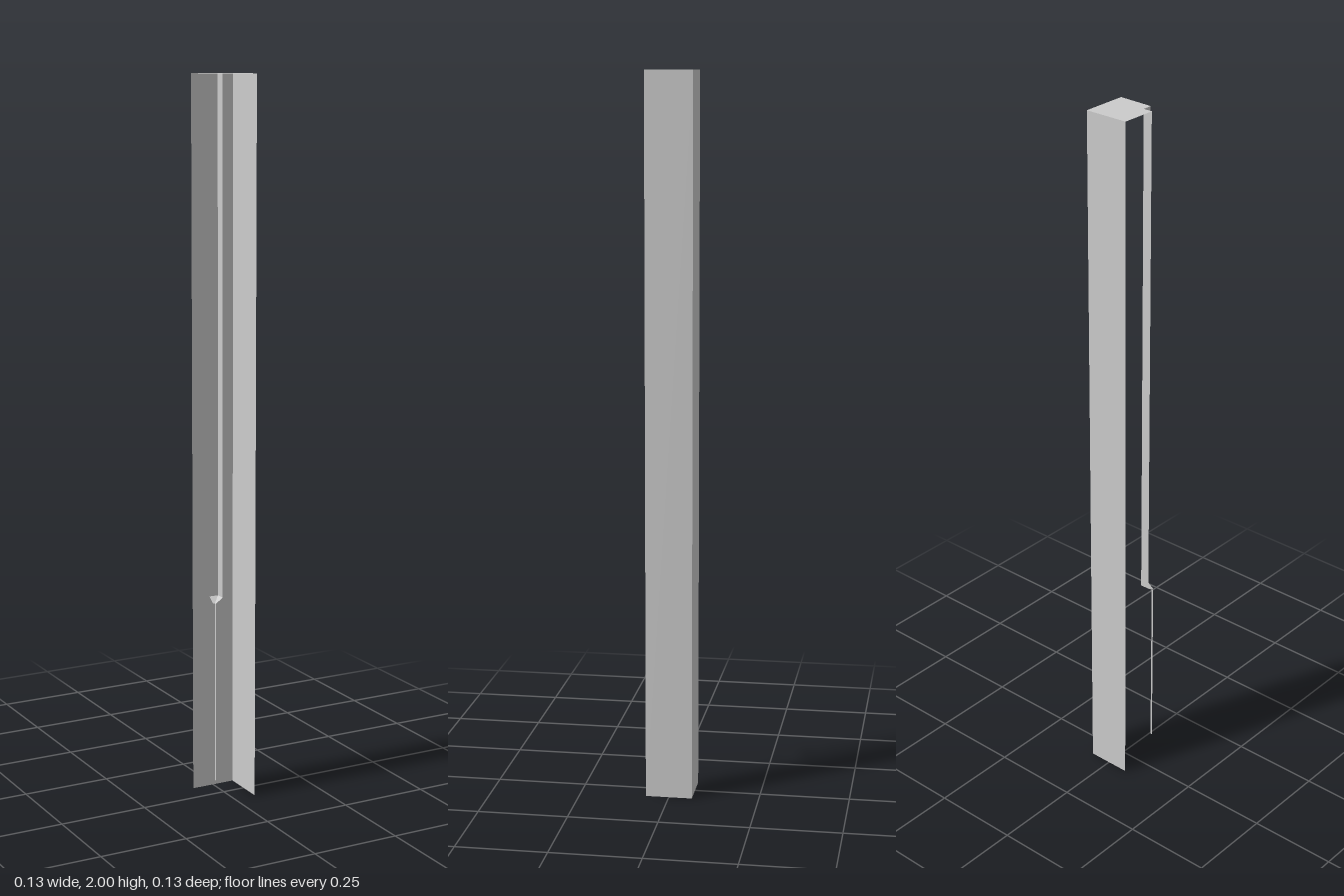
import * as THREE from 'three';

const W = 0.0635, D = 0.065, H = 2;   // half width, half depth, height
const FRONT = 0.0615;                 // front edge at the notched corner

export function createModel() {
  const group = new THREE.Group();
  const material = new THREE.MeshStandardMaterial({
    color: 0xcccccc, side: THREE.DoubleSide, flatShading: true,
  });
  const add = (name, geometry) => {
    const mesh = new THREE.Mesh(geometry, material);
    mesh.name = name;
    group.add(mesh);
    return mesh;
  };

  // Two full-height sheets, meeting at the back corner
  add('backWall', new THREE.PlaneGeometry(2 * W, H).rotateY(Math.PI).translate(0, H / 2, -D));
  add('sideWall', new THREE.PlaneGeometry(2 * D, H).rotateY(Math.PI / 2).translate(W, H / 2, 0));

  // Top cap with a square notch in one front corner (shape y is -z)
  const nx = -0.037, nz = 0.0345;
  const cap = new THREE.Shape([
    [-W, D], [-W, -nz], [nx, -nz], [nx, -FRONT - 0.0005], [W, -D], [W, D],
  ].map(([x, y]) => new THREE.Vector2(x, y)));
  add('topCap', new THREE.ShapeGeometry(cap).rotateX(-Math.PI / 2).translate(0, H, 0));

  // L-shaped lining of the notch: wide above, a short slope, narrow below
  const levels = [
    { y: H, x: nx, z: nz },
    { y: 0.59, x: nx, z: nz },
    { y: 0.575, x: -0.058, z: 0.056 },
    { y: 0.065, x: -0.058, z: 0.056 },
  ];
  const names = ['notchLining', 'notchSlope', 'narrowNotchLining'];
  const section = ({ x, y, z }) => [[-W, y, z], [x, y, z], [x, y, FRONT]];
  names.forEach((name, i) => {
    const a = section(levels[i]), b = section(levels[i + 1]);
    const positions = [];
    for (let j = 0; j < 2; j++) {
      positions.push(...a[j], ...a[j + 1], ...b[j], ...b[j], ...a[j + 1], ...b[j + 1]);
    }
    const geometry = new THREE.BufferGeometry();
    geometry.setAttribute('position', new THREE.Float32BufferAttribute(positions, 3));
    geometry.computeVertexNormals();
    add(name, geometry);
  });

  return group;
}
